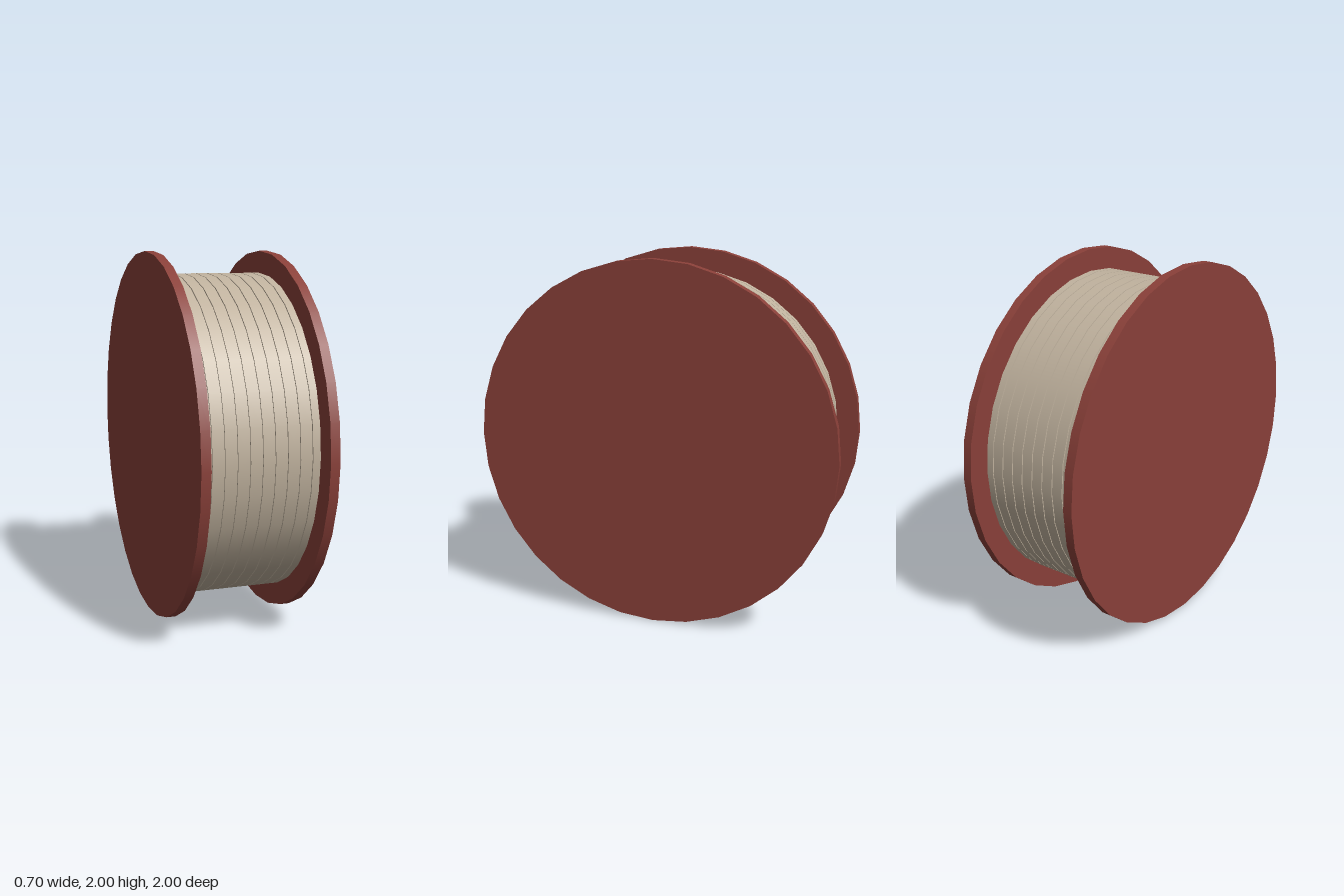
import * as THREE from 'three';

const SIDES = 32;

export function createModel() {
  const spool = new THREE.Group();
  spool.name = 'cableSpool';

  const red = new THREE.MeshStandardMaterial({ color: 0x8a4039 });
  red.name = 'rust red';
  const beige = new THREE.MeshStandardMaterial({ color: 0xc0b29e });
  beige.name = 'cable beige';

  // Disc or drum lying along the x axis, centred at height 1
  function drum(name, radius, width, x, material, open = false) {
    const geometry = new THREE.CylinderGeometry(radius, radius, width, SIDES, 1, open);
    geometry.rotateZ(-Math.PI / 2);
    const mesh = new THREE.Mesh(geometry, material);
    mesh.name = name;
    mesh.position.set(x, 1, 0);
    spool.add(mesh);
  }

  // End flanges
  for (const side of [-1, 1]) {
    drum(side > 0 ? 'leftFlange' : 'rightFlange', 1, 0.05, side * 0.327, red);
  }

  // Core seen at the bottom of the grooves between the windings
  drum('core', 0.872, 0.62, 0, beige, true);

  // Ten cable windings; the outermost ones are tucked into the flanges
  const pitch = 0.065;
  for (let i = 0; i < 10; i++) {
    drum(`winding${i + 1}`, 0.88, pitch - 0.005, (i - 4.5) * pitch, beige);
  }

  return spool;
}
